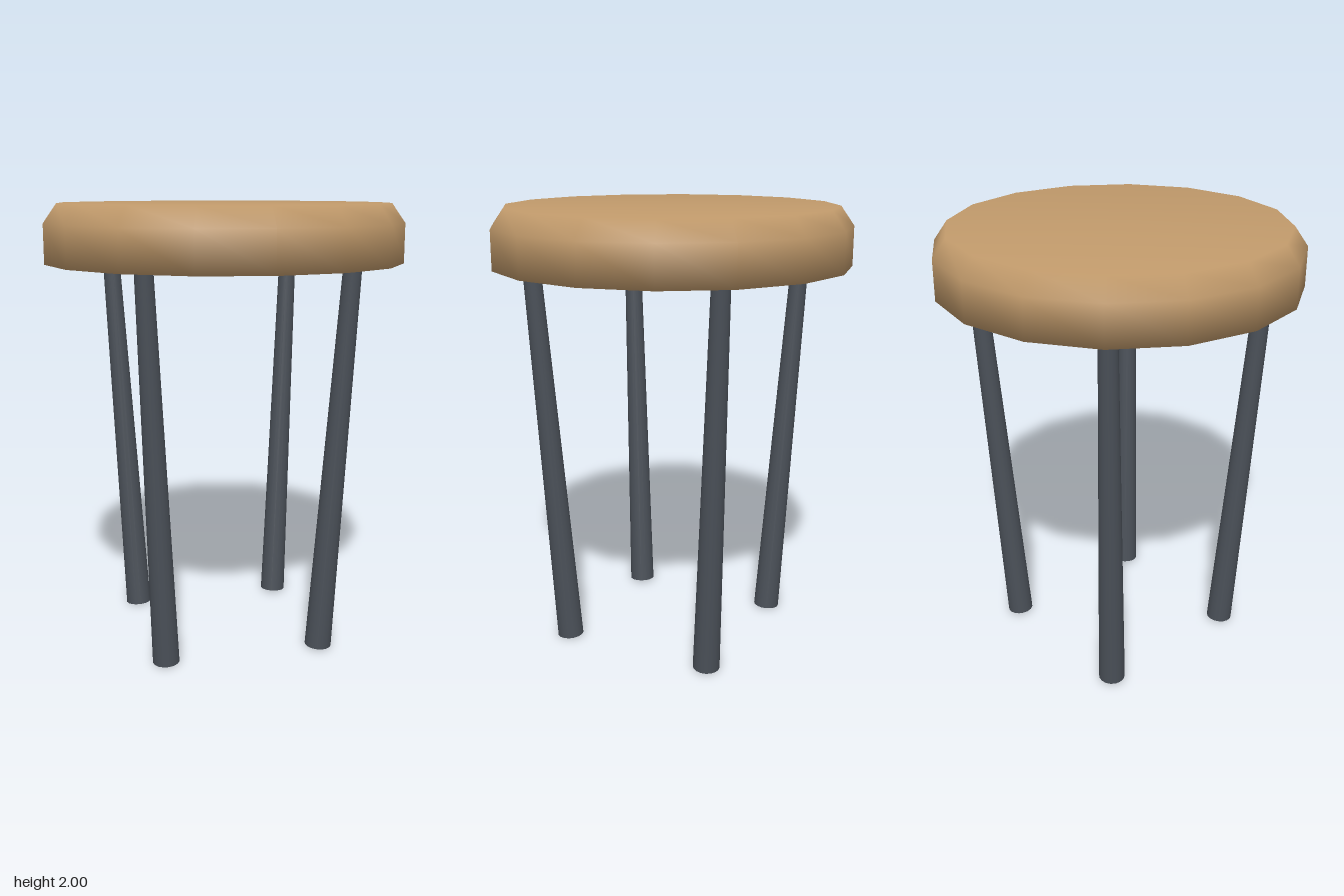
import * as THREE from 'three';
import { mergeVertices } from 'three/addons/utils/BufferGeometryUtils.js';

// Round 16-sided seat with a bevelled upper edge, smoothed over shared vertices
function makeSeat() {
  const profile = [[0, 1.74], [0.8, 1.74], [0.8, 1.915], [0.74, 2], [0, 2]];
  let geometry = new THREE.LatheGeometry(profile.map(([r, y]) => new THREE.Vector2(r, y)), 16);
  geometry.deleteAttribute('uv');
  geometry.deleteAttribute('normal');
  geometry = mergeVertices(geometry, 1e-4);
  geometry.computeVertexNormals();
  const seat = new THREE.Mesh(geometry, new THREE.MeshStandardMaterial({ color: 0xc19a6b }));
  seat.name = 'seat';
  return seat;
}

// Tapered leg, thicker at the foot, leaning outward toward the seat
function makeLeg(sx, sz, material) {
  const foot = new THREE.Vector3(0.357 * sx, 0.005, 0.357 * sz);
  const top = new THREE.Vector3(0.445 * sx, 1.738, 0.445 * sz);
  const axis = top.clone().sub(foot);
  const leg = new THREE.Mesh(new THREE.CylinderGeometry(0.04, 0.06, axis.length(), 16), material);
  leg.position.copy(foot).lerp(top, 0.5);
  leg.quaternion.setFromUnitVectors(new THREE.Vector3(0, 1, 0), axis.normalize());
  leg.name = (sz > 0 ? 'front' : 'back') + (sx > 0 ? 'Left' : 'Right') + 'Leg';
  return leg;
}

export function createModel() {
  const model = new THREE.Group();
  model.name = 'stool';
  model.add(makeSeat());

  const legMaterial = new THREE.MeshStandardMaterial({ color: 0x4a5058 });
  for (const sx of [-1, 1]) {
    for (const sz of [-1, 1]) model.add(makeLeg(sx, sz, legMaterial));
  }
  return model;
}
